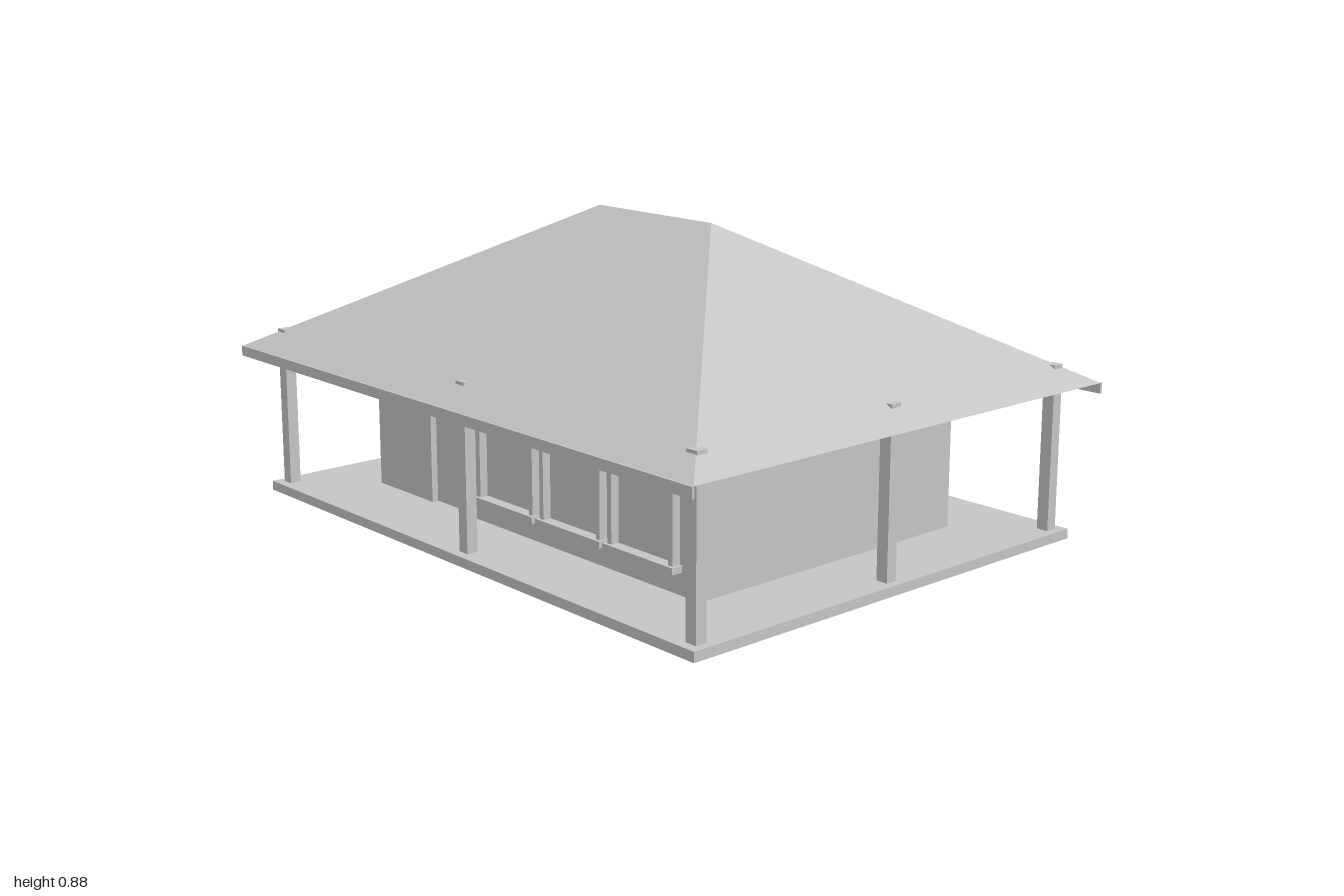
import * as THREE from 'three';

const grey = new THREE.MeshStandardMaterial({ color: 0xc4c4c4 });
grey.name = 'plain grey';

export function createModel() {
  const model = new THREE.Group();
  model.name = 'house';

  const add = (name, geometry, parent = model) => {
    const mesh = new THREE.Mesh(geometry, grey);
    mesh.name = name;
    parent.add(mesh);
    return mesh;
  };
  // Box given by its extents on each axis
  const box = (name, x0, x1, y0, y1, z0, z1, parent) =>
    add(name, new THREE.BoxGeometry(x1 - x0, y1 - y0, z1 - z0), parent)
      .position.set((x0 + x1) / 2, (y0 + y1) / 2, (z0 + z1) / 2);
  // Outline with straight sides
  const outline = (pts, Type = THREE.Shape) => new Type(pts.map(p => new THREE.Vector2(...p)));
  const extrude = (shape, depth) => new THREE.ExtrudeGeometry(shape, { depth, bevelEnabled: false });

  const floorY = 0.028, eaveY = 0.45, wallX = 0.713, wallZ = 0.475, recess = 0.02;

  // Floor slab
  box('floorSlab', -0.95, 0.95, 0, floorY, -0.713, 0.713);

  // House body, with a front wall layer cut out for the door
  box('houseBody', -wallX, wallX, floorY, eaveY, -wallZ, wallZ - recess);
  const door = { x0: -0.455, x1: -0.262, top: 0.313 };
  const wall = outline([
    [-wallX, floorY], [door.x0, floorY], [door.x0, door.top], [door.x1, door.top],
    [door.x1, floorY], [wallX, floorY], [wallX, eaveY], [-wallX, eaveY],
  ]);
  add('frontWall', extrude(wall, recess)).position.z = wallZ - recess;

  // Door frame, open at the bottom, and handle
  const t = 0.012;
  const jamb = outline([
    [door.x0, floorY], [door.x0 + t, floorY], [door.x0 + t, door.top - t], [door.x1 - t, door.top - t],
    [door.x1 - t, floorY], [door.x1, floorY], [door.x1, door.top], [door.x0, door.top],
  ]);
  add('doorFrame', extrude(jamb, recess)).position.z = wallZ - recess + 0.001;
  box('doorHandle', -0.287, -0.279, 0.12, 0.135, wallZ - recess, wallZ - 0.008);

  // Three projecting window frames with sills
  for (const cx of [-0.06, 0.226, 0.511]) {
    const win = new THREE.Group();
    win.name = 'window';
    win.position.x = cx;
    model.add(win);
    const w = 0.127, y0 = 0.09, y1 = 0.415, b = 0.016;
    const frame = outline([[-w, y0], [w, y0], [w, y1], [-w, y1]]);
    frame.holes.push(outline(
      [[-w + b, 0.108], [-w + b, y1 - b], [w - b, y1 - b], [w - b, 0.108]], THREE.Path));
    add('windowFrame', extrude(frame, 0.025), win).position.z = wallZ;
    box('windowSill', -0.136, 0.136, y0, 0.109, wallZ, 0.51, win);
  }

  // Porch posts, whose tops poke through the roof
  const posts = [[0, 0.668]];
  for (const x of [-0.908, 0.908]) for (const z of [-0.668, 0, 0.668]) posts.push([x, z]);
  for (const [x, z] of posts)
    box('porchPost', x - 0.018, x + 0.018, floorY, 0.503, z - 0.017, z + 0.017);

  // Hipped roof with a flat underside
  const X = 1, Z = 0.762, R = 0.238, H = 0.885;
  const [a, b, c, d] = [[-X, eaveY, Z], [X, eaveY, Z], [X, eaveY, -Z], [-X, eaveY, -Z]];
  const l = [-R, H, 0], r = [R, H, 0];
  const triangles = [
    a, b, r, a, r, l, // front
    b, c, r,          // left end
    c, d, l, c, l, r, // back
    d, a, l,          // right end
    a, d, c, a, c, b, // underside
  ];
  const roof = new THREE.BufferGeometry();
  roof.setAttribute('position', new THREE.Float32BufferAttribute(triangles.flat(), 3));
  roof.computeVertexNormals();
  add('roof', roof);

  // Eaves boards along front and back
  box('frontEavesBoard', -X, X, 0.42, eaveY, Z - 0.002, Z + 0.006);
  box('backEavesBoard', -X, X, 0.42, eaveY, -Z - 0.006, -Z + 0.002);

  return model;
}
